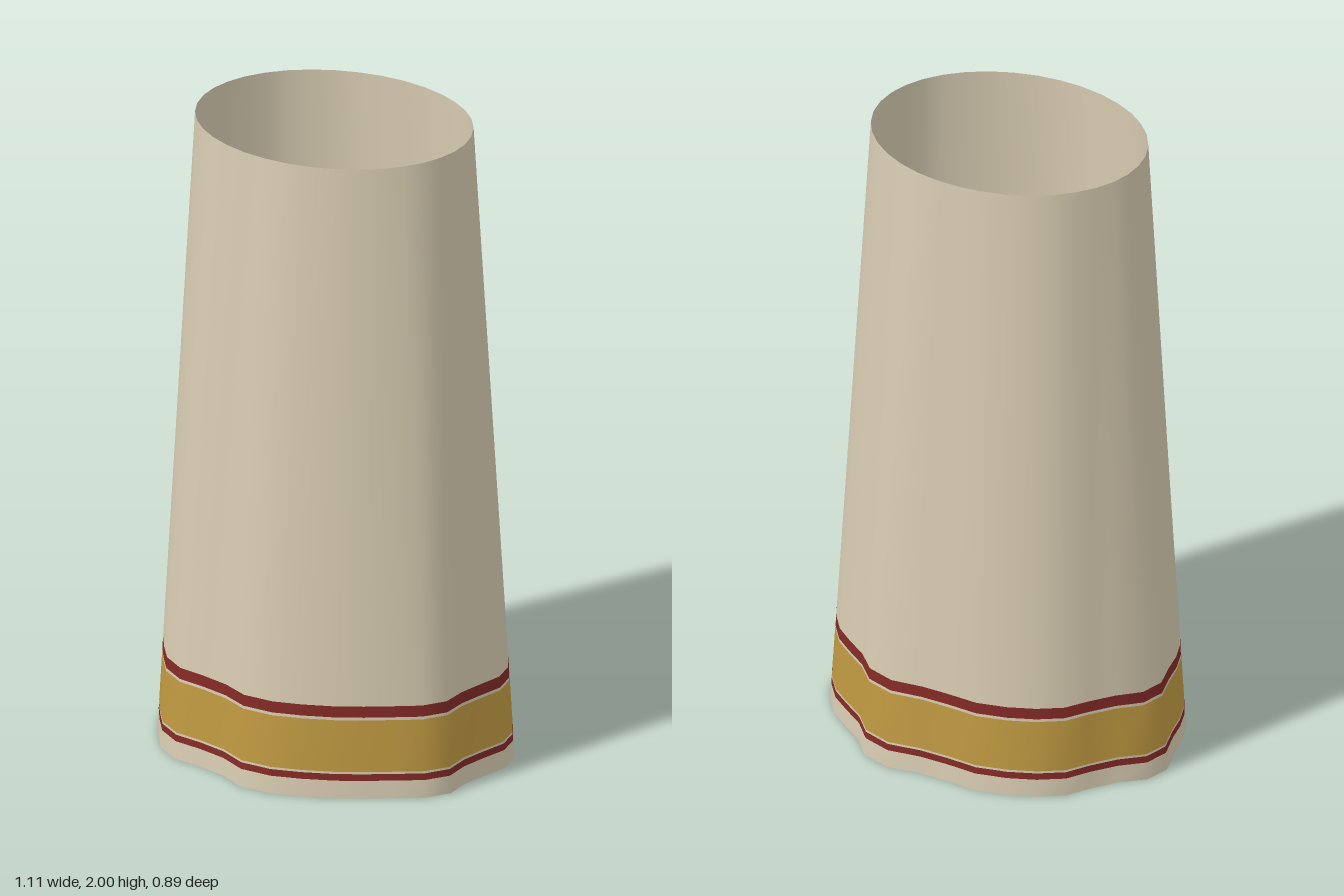
import * as THREE from 'three';

// Wavy hem outline (x, z), one point every ten degrees, counterclockwise from above
const HEM = [
  [0.555, -0.015], [0.55, -0.09], [0.515, -0.165], [0.47, -0.23], [0.41, -0.28], [0.34, -0.335],
  [0.285, -0.405], [0.195, -0.44], [0.09, -0.43], [0, -0.435], [-0.1, -0.447], [-0.195, -0.43],
  [-0.28, -0.4], [-0.355, -0.355], [-0.4, -0.29], [-0.46, -0.22], [-0.53, -0.165], [-0.556, -0.09],
  [-0.535, 0], [-0.525, 0.07], [-0.505, 0.14], [-0.47, 0.21], [-0.43, 0.28], [-0.36, 0.335],
  [-0.27, 0.355], [-0.18, 0.385], [-0.1, 0.435], [0, 0.443], [0.09, 0.425], [0.19, 0.395],
  [0.27, 0.36], [0.35, 0.32], [0.43, 0.28], [0.485, 0.22], [0.495, 0.14], [0.52, 0.07],
];
const HEIGHT = 2;

const material = (name, color) => {
  const m = new THREE.MeshStandardMaterial({ color, side: THREE.DoubleSide });
  m.name = name;
  return m;
};

export function createModel() {
  const cream = material('cream cloth', 0xd9cdb3);
  const red = material('dark red trim', 0x842a26);
  const gold = material('gold trim', 0xc09a42);

  // Horizontal bands of the cloth: name, lower edge, material
  const bands = [
    ['hemEdge', 0, cream],
    ['lowerRedStripe', 0.056, red],
    ['lowerGap', 0.077, cream],
    ['goldBand', 0.084, gold],
    ['upperGap', 0.248, cream],
    ['upperRedStripe', 0.257, red],
    ['skirtBody', 0.292, cream],
  ];
  const levels = [...bands.map((b) => b[1]), HEIGHT];
  const n = HEM.length;

  // Straight loft from the hem to the waist ellipse, one ring per band edge
  const positions = [];
  for (const y of levels) {
    HEM.forEach(([x, z], i) => {
      const a = (i / n) * Math.PI * 2, t = y / HEIGHT;
      positions.push(
        THREE.MathUtils.lerp(x, 0.425 * Math.cos(a), t),
        y,
        THREE.MathUtils.lerp(z, -0.012 - 0.343 * Math.sin(a), t),
      );
    });
  }
  const ringIndices = (row) => {
    const out = [];
    for (let i = 0; i < n; i++) {
      const a = row * n + i, b = row * n + ((i + 1) % n);
      out.push(a, b, b + n, a, b + n, a + n);
    }
    return out;
  };

  // Smooth normals are computed over the whole cloth, then shared by the bands
  const cloth = new THREE.BufferGeometry();
  cloth.setAttribute('position', new THREE.Float32BufferAttribute(positions, 3));
  cloth.setIndex(bands.flatMap((_, row) => ringIndices(row)));
  cloth.computeVertexNormals();

  const group = new THREE.Group();
  group.name = 'skirt';
  bands.forEach(([name, , mat], row) => {
    const geometry = new THREE.BufferGeometry();
    geometry.setAttribute('position', cloth.getAttribute('position'));
    geometry.setAttribute('normal', cloth.getAttribute('normal'));
    geometry.setIndex(ringIndices(row));
    const mesh = new THREE.Mesh(geometry, mat);
    mesh.name = name;
    group.add(mesh);
  });
  return group;
}
